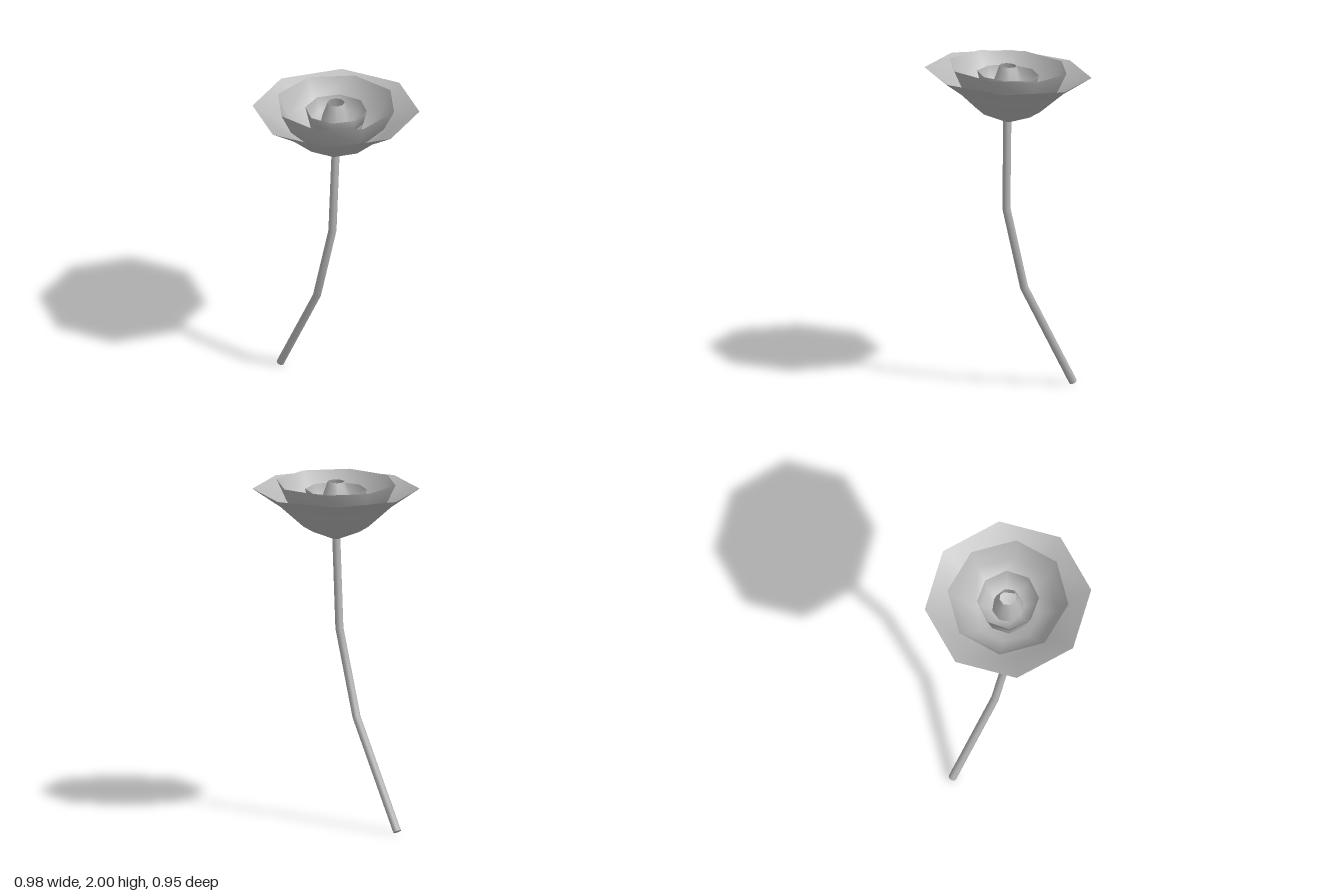
import * as THREE from 'three';

const CENTRE_X = 0.017;

// Straight-segment path with mitred bends, one sample per bend
class BentPath extends THREE.Curve {
  constructor(points) {
    super();
    this.points = points;
  }
  getPoint(t, target = new THREE.Vector3()) {
    const n = this.points.length - 1;
    const i = Math.min(Math.floor(t * n + 1e-9), n - 1);
    return target.lerpVectors(this.points[i], this.points[i + 1], t * n - i);
  }
  getPointAt(u, target) { return this.getPoint(u, target); }
  getTangentAt(u, target) { return this.getTangent(u, target); }
}

// Eight-sided turned petal ring, tipped slightly to one side
function petalRing(name, profile, turn, material) {
  const geometry = new THREE.LatheGeometry(
    profile.map(([r, y]) => new THREE.Vector2(r, y)), 8, turn);
  const p = geometry.attributes.position;
  for (let i = 0; i < p.count; i++) {
    p.setY(i, p.getY(i) + 0.033 * p.getX(i) + 0.043 * p.getZ(i));
  }
  const mesh = new THREE.Mesh(geometry, material);
  mesh.name = name;
  mesh.position.x = CENTRE_X;
  return mesh;
}

export function createModel() {
  const group = new THREE.Group();
  group.name = 'flower';
  const grey = new THREE.MeshStandardMaterial({ color: 0xb8b8b8, side: THREE.DoubleSide });
  grey.name = 'plain grey';

  // Nested flower cups, from the outside in
  group.add(
    petalRing('outerPetals', [[0, 1.65], [0.185, 1.725], [0.317, 1.84], [0.48, 1.948]], 0.61, grey),
    petalRing('middlePetals', [[0, 1.7], [0.19, 1.76], [0.29, 1.86], [0.35, 1.985]], 0.366, grey),
    petalRing('innerPetals', [[0, 1.81], [0.093, 1.825], [0.158, 1.86], [0.178, 1.945]], 0.548, grey),
    petalRing('innerPetalBase', [[0.13, 1.73], [0.158, 1.86]], 0.548, grey),
    petalRing('hollowCentre', [[0.093, 1.825], [0.078, 1.91], [0.05, 1.99]], 0.75, grey));

  // Bent stem
  const points = [
    [-0.47, 0.012, -0.095], [-0.128, 0.635, -0.005], [0.007, 1.135, 0.02], [0.018, 1.67, 0.004],
  ].map((p) => new THREE.Vector3(...p));
  const stem = new THREE.Mesh(
    new THREE.TubeGeometry(new BentPath(points), 3, 0.0235, 8, false), grey);
  stem.name = 'stem';

  // Cut end of the stem
  const end = new THREE.Mesh(new THREE.CircleGeometry(0.0235, 8), grey);
  end.name = 'stemEnd';
  end.position.copy(points[0]);
  end.quaternion.setFromUnitVectors(
    new THREE.Vector3(0, 0, 1), points[0].clone().sub(points[1]).normalize());

  group.add(stem, end);
  return group;
}
